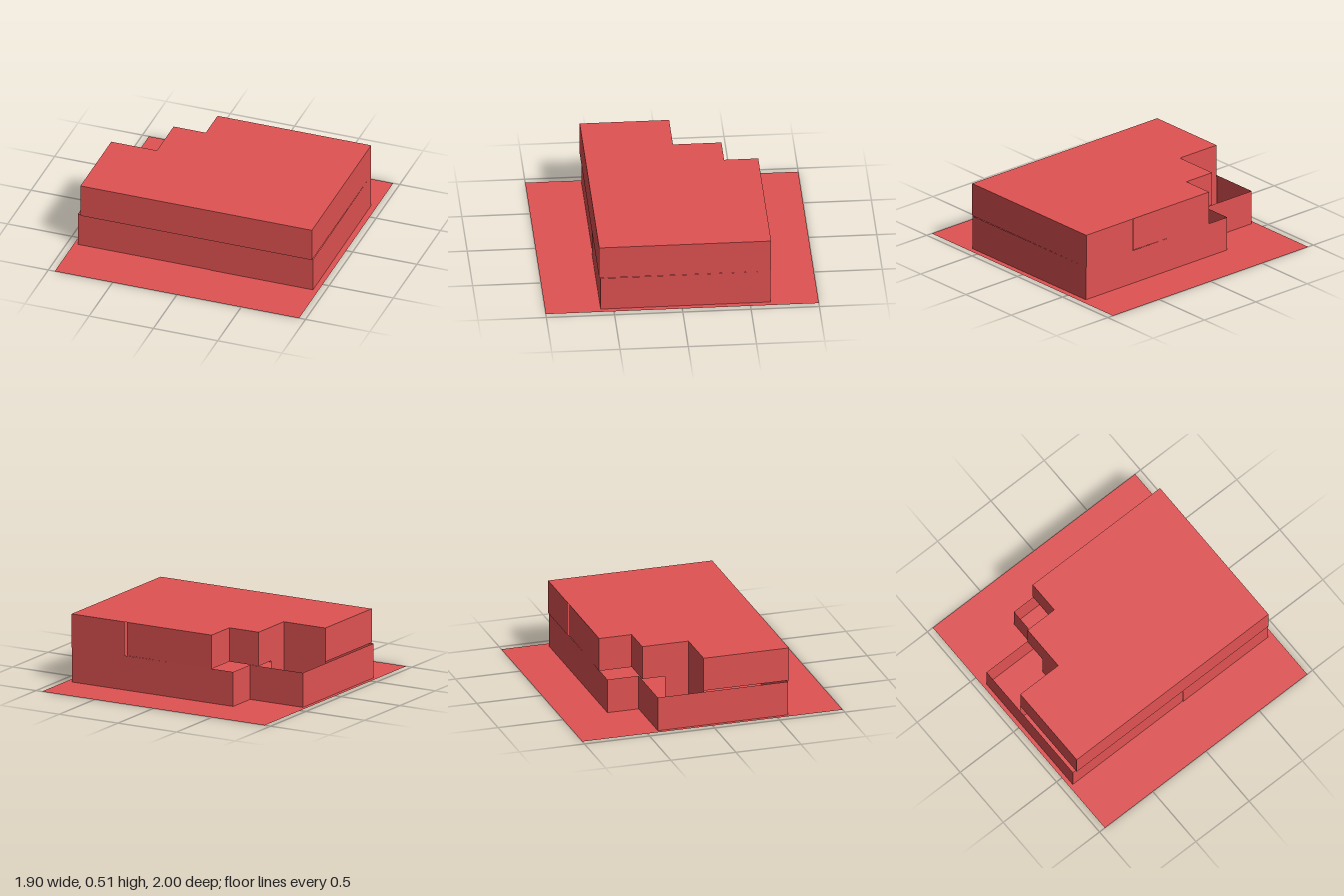
import * as THREE from 'three';

const FLOOR = 0, MID = 0.26, TOP = 0.515;
const material = new THREE.MeshStandardMaterial({
  color: 0xe05252, side: THREE.DoubleSide, flatShading: true,
});

// Flat horizontal slab from an outline of [x, z] corners
function slab(name, outline, y) {
  const shape = new THREE.Shape(outline.map(([x, z]) => new THREE.Vector2(x, -z)));
  const mesh = new THREE.Mesh(new THREE.ShapeGeometry(shape).rotateX(-Math.PI / 2), material);
  mesh.position.y = y;
  mesh.name = name;
  return mesh;
}

// Thin upright panels following a path of [x, z] points
function walls(name, path, y0, y1) {
  const group = new THREE.Group();
  group.name = name;
  for (let i = 0; i < path.length - 1; i++) {
    const [ax, az] = path[i], [bx, bz] = path[i + 1];
    const length = Math.hypot(bx - ax, bz - az);
    const panel = new THREE.Mesh(new THREE.PlaneGeometry(length, y1 - y0), material);
    panel.position.set((ax + bx) / 2, (y0 + y1) / 2, (az + bz) / 2);
    panel.rotation.y = Math.atan2(az - bz, bx - ax);
    panel.name = name + 'Panel';
    group.add(panel);
  }
  return group;
}

export function createModel() {
  const model = new THREE.Group();
  model.name = 'house';

  // Ground plate
  model.add(slab('groundPlate', [[-0.95, 1], [0.95, 1], [0.95, -1], [-0.95, -1]], FLOOR));

  // Lower storey: open-topped ring of walls with one notched corner
  model.add(walls('lowerWalls', [
    [0.11, 0.595], [0.91, 0.595], [0.905, -0.65], [-0.47, -0.65],
    [-0.47, -0.41], [-0.92, -0.41], [-0.92, 0.59], [0.11, 0.59],
  ], FLOOR, MID));

  // Lower storey: partitions under the stepped corner
  model.add(walls('partition', [[-0.9, -0.05], [-0.54, -0.05], [-0.54, -0.23]], FLOOR, MID));

  // Upper storey: stepped outline shared by roof and walls
  const outline = [
    [0.44, -0.655], [-0.29, -0.655], [-0.29, -0.405], [-0.54, -0.405],
    [-0.54, -0.05], [-0.895, -0.05], [-0.895, 0.605], [0.905, 0.605], [0.905, -0.655],
  ];
  model.add(slab('roof', [...outline].reverse(), TOP));

  // Upper walls stop short of closing, leaving a narrow slot at the back
  model.add(walls('upperWalls', [[0.44, -0.645], ...outline.slice(1), [0.455, -0.655]], MID, TOP));
  return model;
}
